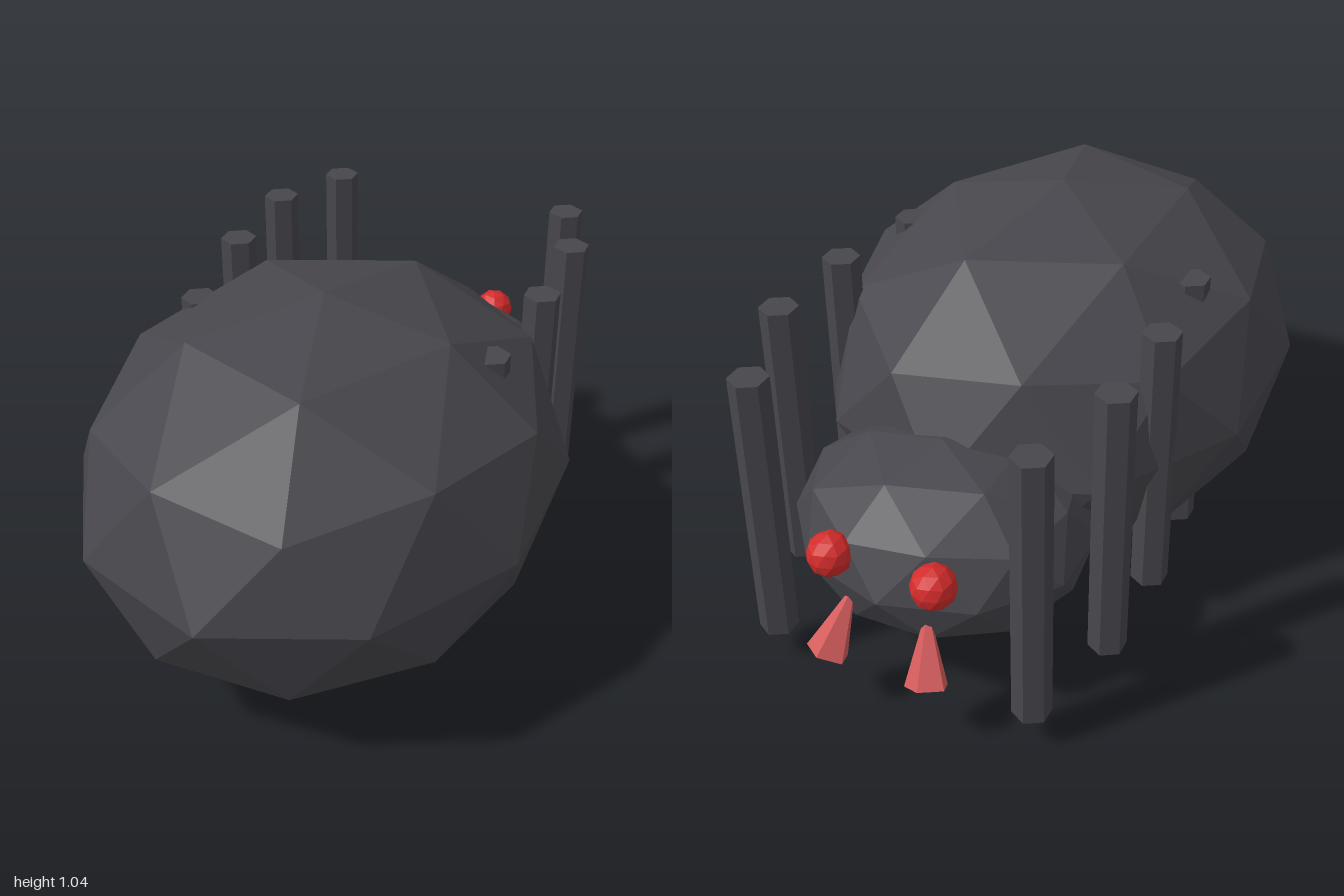
import * as THREE from 'three';

const flat = (name, color) => {
  const m = new THREE.MeshStandardMaterial({ color, flatShading: true });
  m.name = name;
  return m;
};

// Faceted ball with its poles on the y axis
function ball(rx, ry, rz) {
  return new THREE.IcosahedronGeometry(1, 1)
    .rotateZ(-Math.atan(2 / (1 + Math.sqrt(5))))
    .scale(rx, ry, rz);
}

export function createModel() {
  const group = new THREE.Group();
  const shell = flat('charcoal shell', 0x46464c);
  const eyeRed = flat('eye red', 0xd32b2b);
  const fangRed = flat('fang red', 0xd45c5c);

  function add(name, geometry, material, x, y, z) {
    const mesh = new THREE.Mesh(geometry, material);
    mesh.name = name;
    mesh.position.set(x, y, z);
    group.add(mesh);
    return mesh;
  }

  // Body
  add('abdomen', ball(0.66, 0.52, 0.8), shell, 0, 0.523, 0.2);
  add('head', ball(0.41, 0.255, 0.37), shell, 0, 0.392, -0.55);

  // Legs: x, centre height, z of each pair
  const legPairs = [
    [0.375, 0.497, -0.82],
    [0.465, 0.523, -0.545],
    [0.465, 0.516, -0.24],
    [0.425, 0.492, 0.09],
  ];
  const legShape = new THREE.CylinderGeometry(0.052, 0.052, 0.795, 6);
  const eyeShape = ball(0.06, 0.06, 0.06);
  const fangShape = new THREE.ConeGeometry(0.058, 0.205, 5).rotateY(Math.PI);

  for (const [side, s] of [['left', 1], ['right', -1]]) {
    legPairs.forEach(([x, y, z], i) => add(`${side}Leg${i + 1}`, legShape, shell, s * x, y, z));
    add(`${side}Eye`, eyeShape, eyeRed, s * 0.145, 0.475, -0.883);

    // Fang spreads outwards and away from the head
    const fang = add(`${side}Fang`, fangShape, fangRed, s * 0.123, 0.277, -0.89);
    fang.rotation.set(0.48, 0, s * 0.2);
  }
  return group;
}
